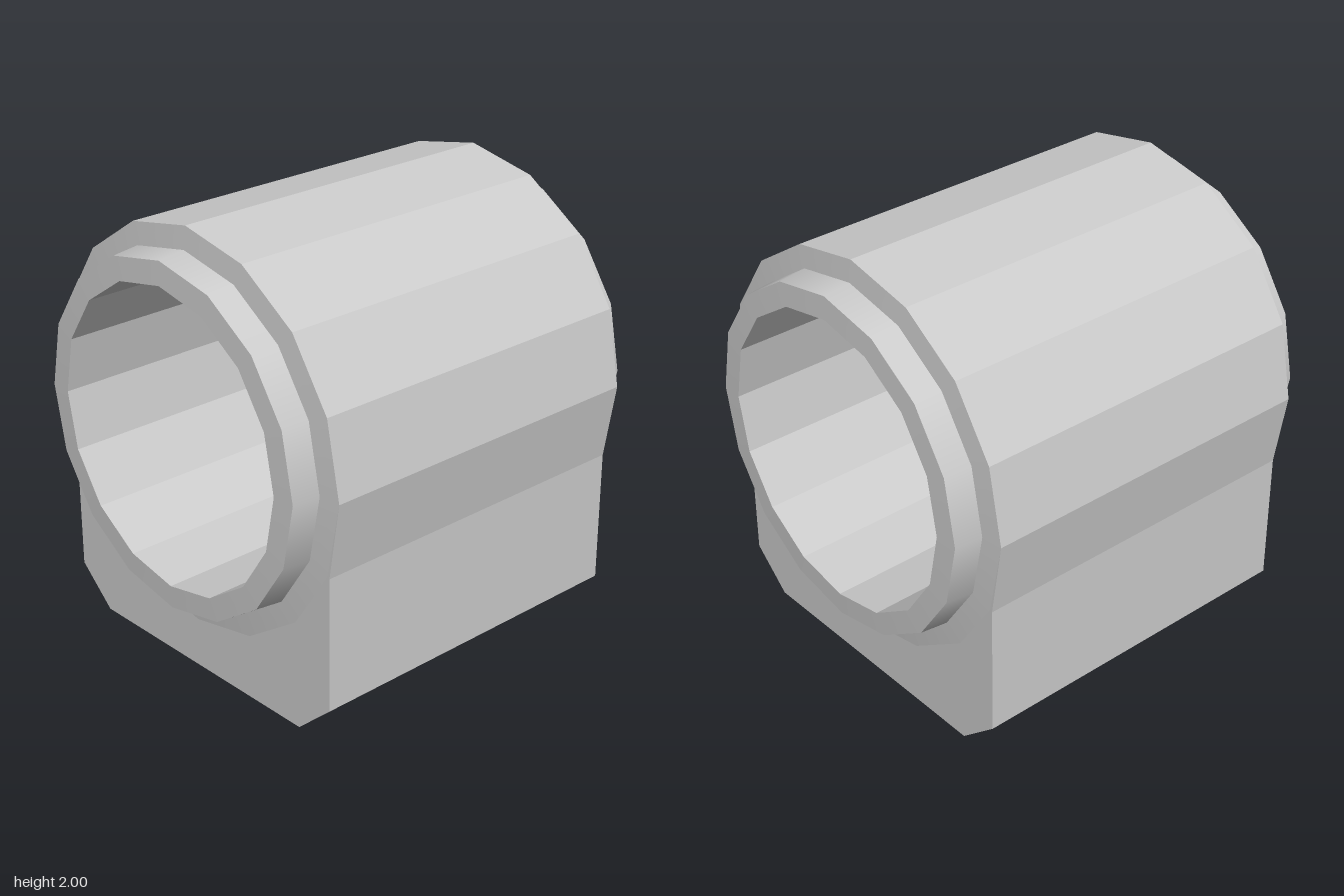
import * as THREE from 'three';

const SIDES = 16, AXIS_Y = 1.114;
const R_BODY = 0.886, R_BORE = 0.67;
const HALF_BODY = 0.81, HALF_LENGTH = 0.95;

const material = new THREE.MeshStandardMaterial({ color: 0xcccccc });
const flatMaterial = new THREE.MeshStandardMaterial({ color: 0xcccccc, flatShading: true });

// Ring turned about the x axis; each point is [radius, distance along the axis]
function turned(name, points, dir = 1, mat = material) {
  const profile = points.map(([r, d]) => new THREE.Vector2(r, d));
  const geometry = new THREE.LatheGeometry(profile, SIDES);
  geometry.rotateZ(-dir * Math.PI / 2);
  const mesh = new THREE.Mesh(geometry, mat);
  mesh.name = name;
  mesh.position.y = AXIS_Y;
  return mesh;
}

export function createModel() {
  const group = new THREE.Group();
  group.name = 'bearingHousing';

  // Housing outline: faceted round top on a block foot with chamfered corners
  const outline = new THREE.Shape();
  outline.moveTo(-0.645, 0);
  outline.lineTo(0.645, 0);
  outline.lineTo(0.83, 0.165);
  outline.lineTo(0.83, 0.77);
  for (let i = 0; i <= SIDES / 2; i++) {
    const a = (i / SIDES) * Math.PI * 2;
    outline.lineTo(R_BODY * Math.cos(a), AXIS_Y + R_BODY * Math.sin(a));
  }
  outline.lineTo(-0.83, 0.77);
  outline.lineTo(-0.83, 0.165);
  outline.closePath();

  // Clearance hole, covered by the bore and the collars
  const hole = new THREE.Path();
  for (let i = 0; i < SIDES; i++) {
    const a = -(i / SIDES) * Math.PI * 2;
    const x = 0.73 * Math.cos(a), y = AXIS_Y + 0.73 * Math.sin(a);
    if (i === 0) hole.moveTo(x, y);
    else hole.lineTo(x, y);
  }
  hole.closePath();
  outline.holes.push(hole);

  const bodyGeometry = new THREE.ExtrudeGeometry(outline, { depth: 2 * HALF_BODY, bevelEnabled: false });
  bodyGeometry.translate(0, 0, -HALF_BODY);
  bodyGeometry.rotateY(Math.PI / 2);
  const body = new THREE.Mesh(bodyGeometry, flatMaterial);
  body.name = 'housing';
  group.add(body);

  // Through bore, facing inward
  group.add(turned('bore', [[R_BORE, HALF_LENGTH], [R_BORE, -HALF_LENGTH]], 1, flatMaterial));

  // Shallow shoulder and tapered collar at both ends
  for (const [side, dir] of [['left', 1], ['right', -1]]) {
    const collar = new THREE.Group();
    collar.name = side + 'Collar';
    collar.add(
      turned('shoulder', [[R_BODY, HALF_BODY], [0.787, 0.82]], dir),
      turned('collarWall', [[0.787, 0.82], [0.774, 0.945]], dir),
      turned('collarFace', [[0.774, 0.945], [R_BORE, HALF_LENGTH]], dir)
    );
    group.add(collar);
  }
  return group;
}
